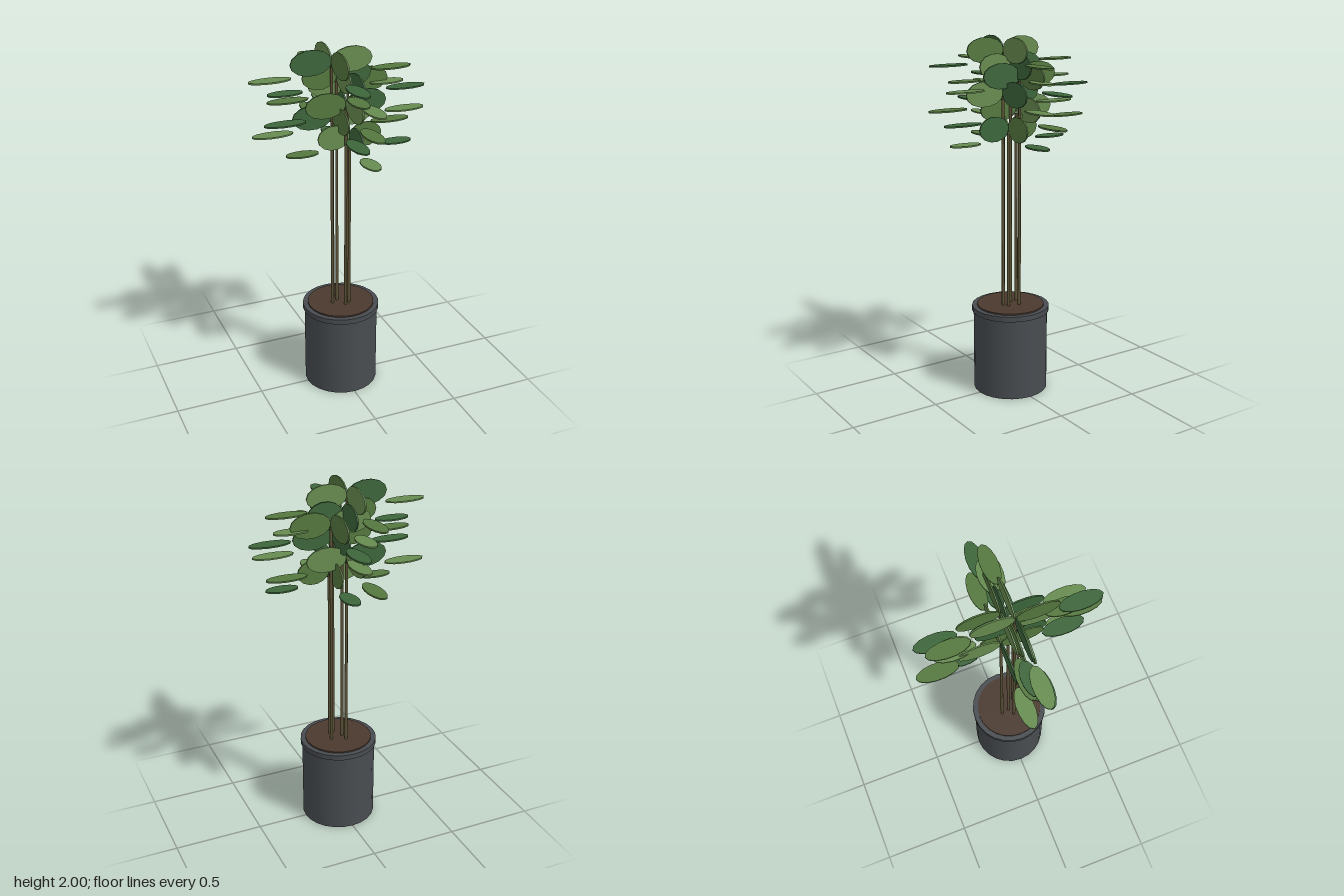
import * as THREE from 'three';

const mat = (color) => new THREE.MeshStandardMaterial({ color });

export function createModel() {
  const group = new THREE.Group();
  const greens = [mat(0x55783f), mat(0x3d663b), mat(0x678c50)];
  const potMat = mat(0x484c50), soilMat = mat(0x4a392e), stemMat = mat(0x5b5236);

  const add = (parent, name, geometry, material, x, y, z) => {
    const mesh = new THREE.Mesh(geometry, material);
    mesh.name = name;
    mesh.position.set(x, y, z);
    parent.add(mesh);
    return mesh;
  };

  // Pot with a raised rim and a bed of soil
  add(group, 'pot', new THREE.CylinderGeometry(0.21, 0.21, 0.48, 24), potMat, 0, 0.24, 0);
  add(group, 'potRim', new THREE.CylinderGeometry(0.219, 0.219, 0.03, 24), potMat, 0, 0.48, 0);
  add(group, 'soil', new THREE.CylinderGeometry(0.19, 0.19, 0.02, 24), soilMat, 0, 0.493, 0);

  // Thin oval leaf blade, lying flat with its length along x
  const blade = new THREE.CylinderGeometry(1, 1, 1, 14).rotateY(Math.PI / 14);

  // Stems: x, z, height of the leaf whorl, spread, first green
  const stems = [
    [-0.055, 0.01, 1.865, 1, 0],
    [-0.018, -0.012, 1.78, 0.85, 2],
    [0.052, -0.025, 1.735, 1, 1],
    [0.008, 0.054, 1.64, 1, 2],
    [-0.025, -0.054, 1.548, 1, 0],
    [0.037, 0.037, 1.452, 0.8, 1],
  ];
  const uprightTone = [2, 0, 1, 2];

  for (const [x, z, y, spread, tone] of stems) {
    const plant = new THREE.Group();
    plant.name = 'stemWithLeaves';
    plant.position.set(x, 0, z);
    group.add(plant);

    const top = y + 0.035;
    add(plant, 'stem', new THREE.CylinderGeometry(0.008, 0.009, top - 0.49, 8),
      stemMat, 0, (top + 0.49) / 2, 0);

    // Four sides: an outer level leaf and an inner upright leaf on each
    for (let i = 0; i < 4; i++) {
      const side = new THREE.Group();
      side.name = 'leafPair';
      side.rotation.y = -i * Math.PI / 2;
      plant.add(side);

      const level = add(side, 'levelLeaf', blade, greens[(tone + i) % 3], 0.34 * spread, y, 0);
      level.scale.set(0.115 * spread, 0.008, 0.046);

      const upright = add(side, 'uprightLeaf', blade, greens[(tone + uprightTone[i]) % 3],
        0.115 * spread, y + 0.067, 0);
      upright.rotation.x = Math.PI / 2;
      upright.scale.set(0.115 * spread, 0.008, 0.069);
    }
  }
  return group;
}
